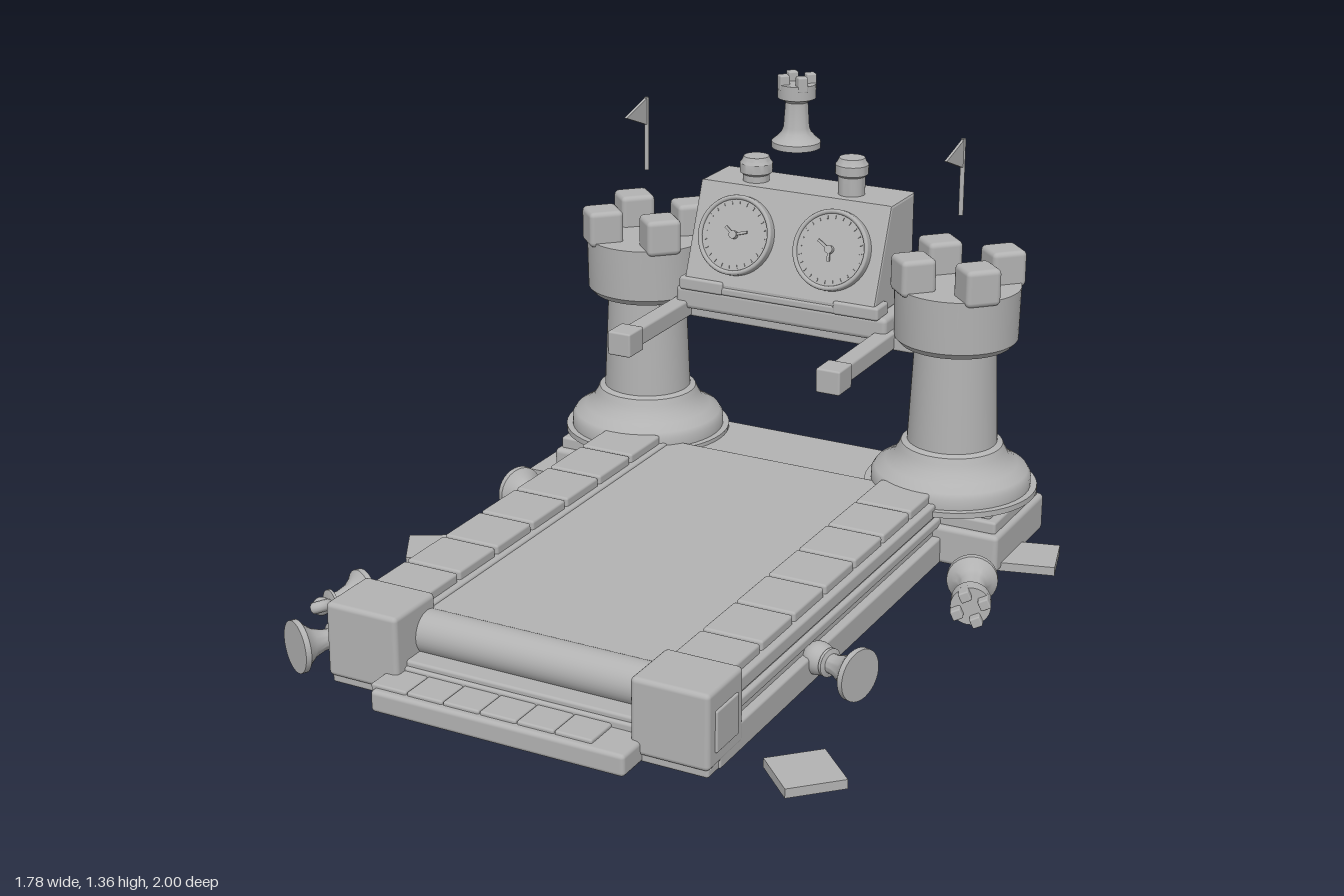
import * as THREE from 'three';
import { RoundedBoxGeometry } from 'three/addons/geometries/RoundedBoxGeometry.js';
import { toCreasedNormals } from 'three/addons/utils/BufferGeometryUtils.js';

const stone = new THREE.MeshStandardMaterial({ color: 0xb2b2b2 });
stone.name = 'stone grey';

function add(parent, name, geometry, x = 0, y = 0, z = 0) {
  const mesh = new THREE.Mesh(geometry, stone);
  mesh.name = name;
  mesh.position.set(x, y, z);
  parent.add(mesh);
  return mesh;
}

// Box given by its limits, with softened edges
function box(parent, name, [x0, x1], [y0, y1], [z0, z1], r = 0.008) {
  const g = new RoundedBoxGeometry(x1 - x0, y1 - y0, z1 - z0, 2, r);
  return add(parent, name, g, (x0 + x1) / 2, (y0 + y1) / 2, (z0 + z1) / 2);
}

// Turned part with crisp edges, profile as [radius, height]
function turned(parent, name, profile, x = 0, y = 0, z = 0, sides = 48) {
  const g = new THREE.LatheGeometry(profile.map(p => new THREE.Vector2(...p)), sides);
  return add(parent, name, toCreasedNormals(g, 0.6), x, y, z);
}

// Four battlements set diagonally around a crown
function battlements(parent, offset, size, height, y) {
  for (const sx of [-1, 1]) for (const sz of [-1, 1]) {
    const g = new RoundedBoxGeometry(size, height, size, 2, size * 0.15);
    add(parent, 'battlement', g, sx * offset, y, sz * offset).rotation.y = Math.PI / 4;
  }
}

function rook() {
  const g = new THREE.Group();
  g.name = 'rookPiece';
  turned(g, 'rookBody', [[0, 0], [0.072, 0], [0.072, 0.018], [0.058, 0.03], [0.044, 0.045],
    [0.038, 0.06], [0.033, 0.135], [0.042, 0.142], [0.056, 0.148], [0.056, 0.19], [0, 0.19]], 0, 0, 0, 32);
  battlements(g, 0.029, 0.03, 0.045, 0.195);
  return g;
}

function pawn(notched) {
  const g = new THREE.Group();
  g.name = notched ? 'bishopPiece' : 'pawnPiece';
  turned(g, 'pieceBody', [[0, 0], [0.073, 0], [0.073, 0.016], [0.058, 0.028], [0.04, 0.05],
    [0.029, 0.08], [0.027, 0.1], [0.04, 0.104], [0.04, 0.112], [0.02, 0.116], [0, 0.116]], 0, 0, 0, 32);
  if (notched) {
    const arc = new THREE.TorusGeometry(0.024, 0.016, 12, 24, Math.PI * 1.7);
    add(g, 'notchedHead', arc, 0, 0.145, 0).rotation.z = Math.PI * 0.65;
    add(g, 'headCore', new THREE.SphereGeometry(0.026, 20, 14), 0, 0.138, 0);
  } else {
    add(g, 'roundHead', new THREE.SphereGeometry(0.046, 28, 18), 0, 0.146, 0);
  }
  return g;
}

// Lay a piece on its side, base at (x, z), pointing along (dx, dz)
function lay(parent, piece, x, y, z, dx, dz) {
  piece.position.set(x, y, z);
  const up = new THREE.Vector3(0, 1, 0);
  piece.quaternion.setFromUnitVectors(up, new THREE.Vector3(dx, -0.02, dz).normalize());
  parent.add(piece);
}

function tower(side) {
  const g = new THREE.Group();
  g.name = side > 0 ? 'leftTower' : 'rightTower';
  g.position.set(side * 0.512, 0, -0.745);
  turned(g, 'towerShaft', [[0, 0.175], [0.255, 0.175], [0.255, 0.192], [0.236, 0.192], [0.236, 0.222],
    [0.226, 0.238], [0.195, 0.256], [0.17, 0.277], [0.158, 0.3], [0.15, 0.318], [0.133, 0.325],
    [0.12, 0.62], [0.165, 0.63], [0.181, 0.648], [0.184, 0.805], [0, 0.805]]);
  battlements(g, 0.099, 0.106, 0.11, 0.846);
  // Flag floating over the tower
  add(g, 'flagPole', new THREE.CylinderGeometry(0.007, 0.007, 0.225, 12), 0, 1.123, 0);
  const s = new THREE.Shape([[0, 1.235], [0, 1.15], [-0.13, 1.2]].map(p => new THREE.Vector2(...p)));
  const flag = add(g, 'flag', new THREE.ExtrudeGeometry(s, { depth: 0.008, bevelEnabled: false }), 0.004, 0, 0);
  flag.rotation.y = Math.PI / 2;
  flag.position.x = -0.004;
  return g;
}

// Dial on the sloping face, built facing +z then tilted
function dial(x, handAngle) {
  const g = new THREE.Group();
  g.name = 'dial';
  g.position.set(x, 0.872, -0.667);
  g.rotation.x = -0.366;
  const disc = (name, r, d, z) =>
    add(g, name, new THREE.CylinderGeometry(r, r, d, 48), 0, 0, z).rotateX(Math.PI / 2);
  disc('dialFace', 0.12, 0.03, 0.012);
  add(g, 'dialRim', new THREE.TorusGeometry(0.113, 0.007, 8, 48), 0, 0, 0.027);
  for (let i = 0; i < 24; i++) {
    const a = i * Math.PI / 12;
    add(g, 'tick', new THREE.BoxGeometry(0.01, 0.003, 0.004),
      0.096 * Math.cos(a), 0.096 * Math.sin(a), 0.028).rotation.z = a;
  }
  disc('dialHub', 0.012, 0.016, 0.035);
  for (const [a, len] of [[handAngle, 0.045], [handAngle + 2.2, 0.035]]) {
    add(g, 'hand', new THREE.BoxGeometry(len, 0.008, 0.006),
      Math.cos(a) * len / 2, Math.sin(a) * len / 2, 0.036).rotation.z = a;
  }
  return g;
}

function button(parent, x, top) {
  turned(parent, 'button', [[0, 1.01], [0.04, 1.01], [0.04, top - 0.055], [0.049, top - 0.048],
    [0.049, top - 0.02], [0.043, top - 0.012], [0.038, top], [0, top]], x, 0, -0.785, 32);
}

export function createModel() {
  const model = new THREE.Group();
  model.name = 'castleTreadmill';

  // Frame and rear plinth
  box(model, 'rearPlinth', [-0.74, 0.74], [0.008, 0.125], [-0.935, -0.55], 0.015);
  box(model, 'rearPlinthStep', [-0.725, 0.725], [0.12, 0.16], [-0.915, -0.57]);
  box(model, 'rearPlinthTop', [-0.7, 0.7], [0.155, 0.18], [-0.895, -0.59]);
  box(model, 'baseSlab', [-0.555, 0.555], [0.008, 0.09], [-0.58, 0.88]);
  box(model, 'belt', [-0.365, 0.365], [0.08, 0.2], [-0.62, 0.75], 0.01);
  const roller = add(model, 'frontRoller', new THREE.CylinderGeometry(0.06, 0.06, 0.72, 32), 0, 0.147, 0.765);
  roller.rotation.z = Math.PI / 2;
  box(model, 'rollerSill', [-0.36, 0.36], [0.06, 0.105], [0.77, 0.87]);

  // Front step with a row of tiles
  box(model, 'frontStep', [-0.375, 0.375], [0.008, 0.07], [0.84, 1], 0.012);
  for (let i = 0; i < 6; i++) {
    const x = -0.33 + i * 0.11;
    box(model, 'stepTile', [x - 0.054, x + 0.054], [0.055, 0.08], [0.865, 0.98], 0.006);
  }

  for (const s of [-1, 1]) {
    const span = (a, b) => (s > 0 ? [a, b] : [-b, -a]);
    // Moulded side rail with square tiles on top
    box(model, 'railFoot', span(0.36, 0.565), [0.008, 0.09], [-0.58, 0.85]);
    box(model, 'railBody', span(0.36, 0.54), [0.08, 0.175], [-0.58, 0.85]);
    box(model, 'railBead', span(0.36, 0.555), [0.115, 0.145], [-0.58, 0.85]);
    box(model, 'railCap', span(0.352, 0.56), [0.165, 0.208], [-0.58, 0.85]);
    for (let i = 0; i < 7; i++) {
      const z = -0.565 + i * 0.19;
      box(model, 'railTile', span(0.368, 0.54), [0.195, 0.234], [z + 0.005, Math.min(z + 0.185, 0.73)]);
    }
    // Front corner block with side panel and foot
    box(model, 'cornerBlock', span(0.345, 0.566), [0.03, 0.242], [0.725, 0.915], 0.014);
    box(model, 'cornerPanel', span(0.56, 0.572), [0.07, 0.185], [0.76, 0.88], 0.005);
    box(model, 'cornerFoot', span(0.36, 0.56), [0.008, 0.035], [0.67, 0.905]);

    model.add(tower(s));
    // Handrail with square grip end
    box(model, 'handrail', span(0.305, 0.36), [0.605, 0.66], [-0.75, -0.3]);
    box(model, 'handrailEnd', span(0.296, 0.37), [0.596, 0.668], [-0.33, -0.245], 0.006);
  }

  // Console and the beam carrying it
  box(model, 'crossBeam', [-0.42, 0.42], [0.603, 0.645], [-0.84, -0.645]);
  box(model, 'consoleShelf', [-0.345, 0.345], [0.635, 0.705], [-0.87, -0.615], 0.015);
  const side = new THREE.Shape([[0.878, 0.71], [0.878, 1.007], [0.722, 1.007], [0.615, 0.73], [0.615, 0.71]]
    .map(p => new THREE.Vector2(...p)));
  const hull = new THREE.ExtrudeGeometry(side,
    { depth: 0.605, bevelThickness: 0.008, bevelSize: 0.008, bevelSegments: 2 });
  const consoleBody = add(model, 'console', hull, -0.3025, 0, 0);
  consoleBody.rotation.y = Math.PI / 2;
  box(model, 'consoleLedge', [-0.315, 0.315], [0.7, 0.725], [-0.7, -0.603]);
  for (const s of [-1, 1]) box(model, 'ledgeBlock',
    s > 0 ? [0.18, 0.325] : [-0.325, -0.18], [0.7, 0.74], [-0.68, -0.6]);
  model.add(dial(-0.16, 0.3), dial(0.152, 2.6));
  button(model, -0.161, 1.09);
  button(model, 0.151, 1.125);

  // Rook hovering above the console
  const topRook = rook();
  topRook.position.set(-0.006, 1.15, -0.732);
  model.add(topRook);

  // Fallen pieces around the frame
  lay(model, pawn(false), -0.73, 0.076, -0.315, 27, 11);
  lay(model, rook(), 0.742, 0.078, -0.36, 12, 32);
  lay(model, pawn(false), 0.712, 0.076, 0.34, -26, -8);
  lay(model, pawn(true), -0.71, 0.076, 0.53, -13, 26);
  lay(model, pawn(false), -0.685, 0.076, 0.895, 14, -24);

  // Loose floor tiles
  for (const [x, z, a] of [[-0.775, 0.08, 0.52], [0.764, 0.78, Math.PI / 4], [0.79, -0.69, 0.26], [-0.76, -0.648, 0]]) {
    add(model, 'looseTile', new THREE.BoxGeometry(0.163, 0.026, 0.163), x, 0.018, z).rotation.y = a;
  }
  return model;
}
